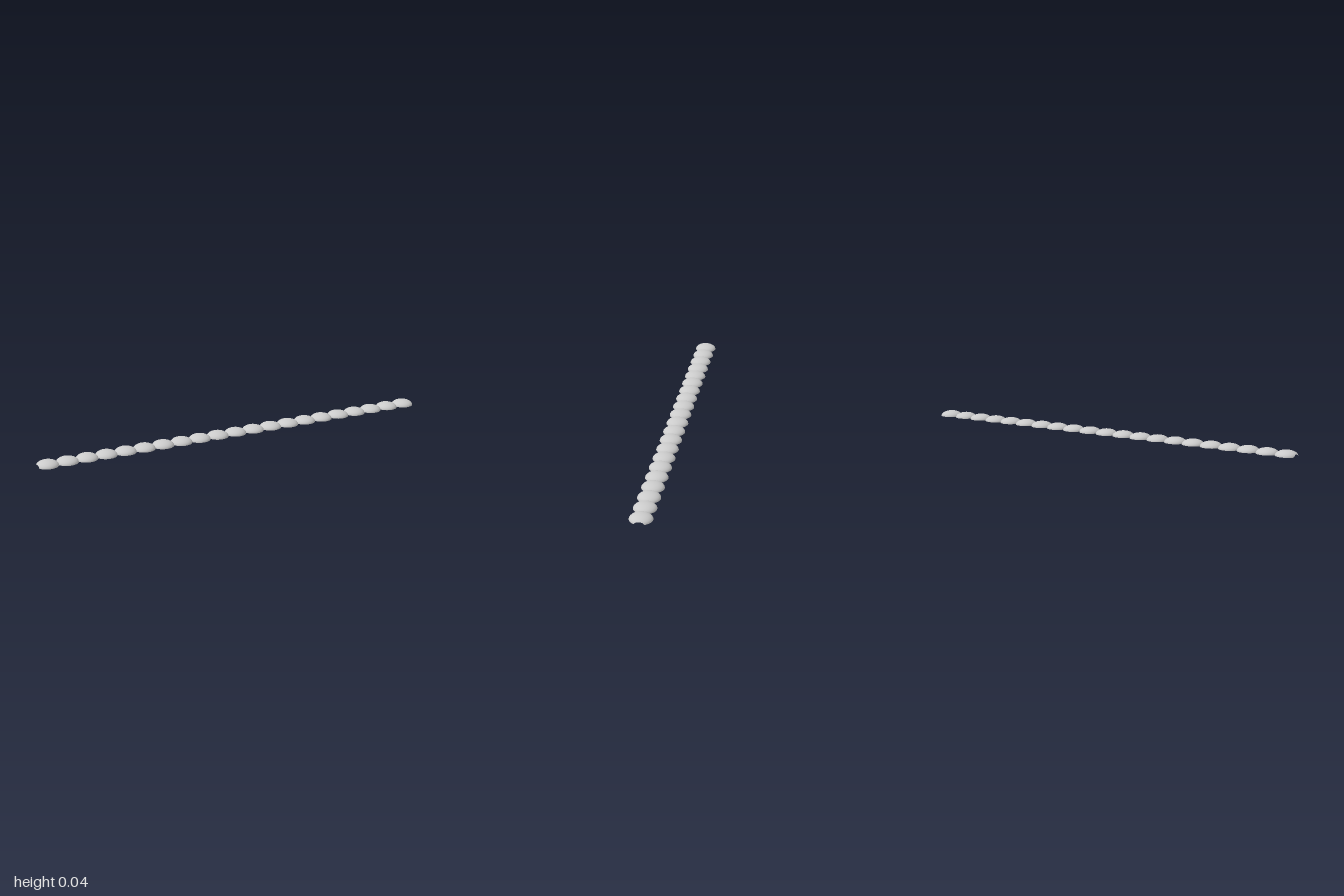
import * as THREE from 'three';

// A diagonal strip of 21 hollow, flattened domes, each trimmed where it meets the next.
export function createModel() {
  const group = new THREE.Group();
  group.name = 'beadedTrim';

  const count = 21, radius = 0.072, height = 0.036;
  const end = 1 - radius;                       // x of the last dome centre
  const step = (2 * end) / (count - 1);
  const halfPitch = (step * Math.SQRT2) / 2;    // trim plane distance along the strip
  const cut = Math.acos(halfPitch / radius);

  // Half a sphere with its poles along the strip and both polar caps cut off
  const dome = new THREE.SphereGeometry(radius, 24, 24, 0, Math.PI, cut, Math.PI - 2 * cut);
  dome.rotateX(-Math.PI / 2);
  dome.scale(1, height / radius, 1);
  dome.rotateY(-Math.PI / 4);

  const material = new THREE.MeshStandardMaterial({ color: 0xcccccc, side: THREE.DoubleSide });

  for (let i = 0; i < count; i++) {
    const bead = new THREE.Mesh(dome, material);
    const x = -end + i * step;
    bead.name = `domeBead${i + 1}`;
    bead.position.set(x, 0, -x);
    group.add(bead);
  }
  return group;
}
